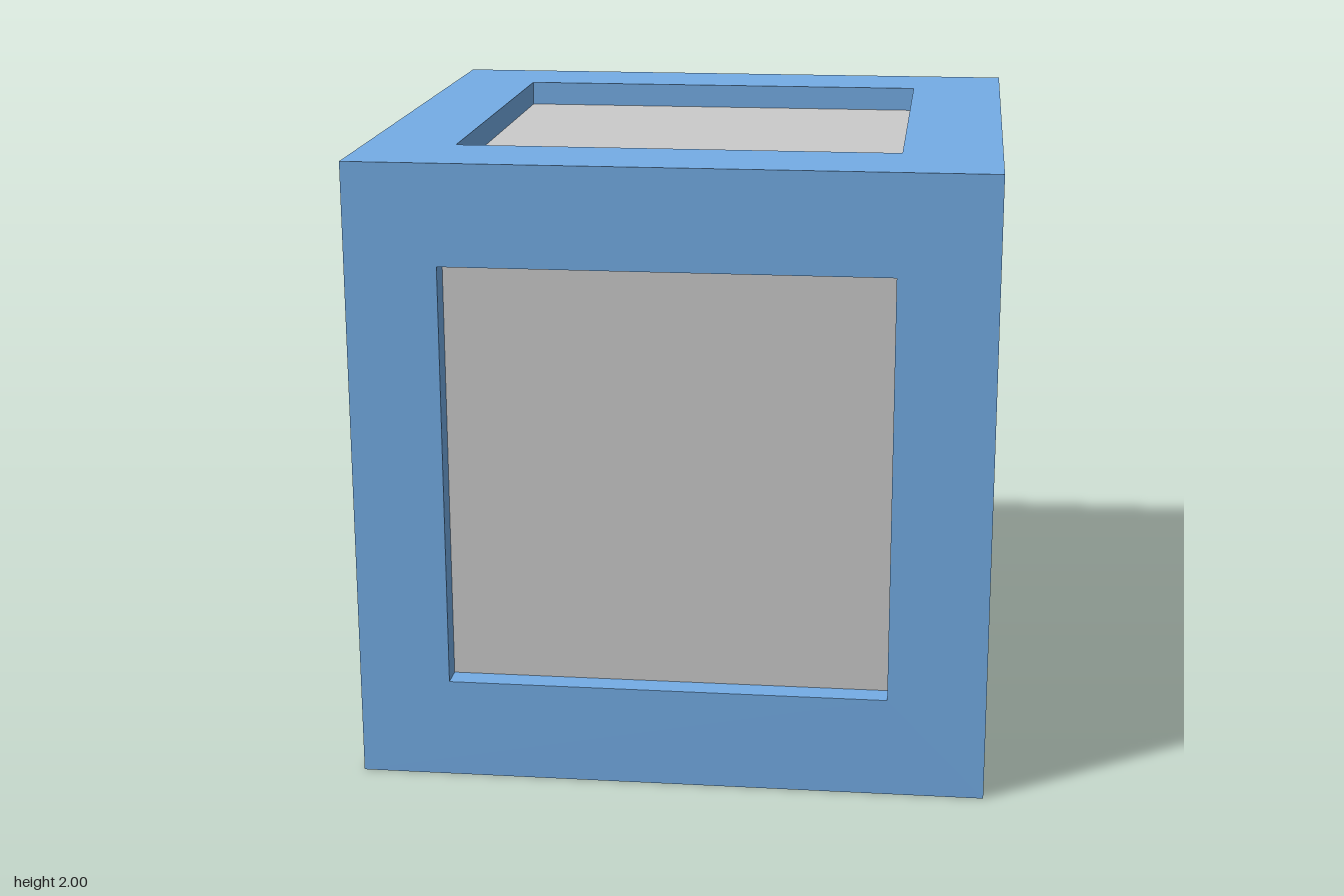
import * as THREE from 'three';

const DEPTH = 0.08; // recess of the panels
const INNER = 1 - DEPTH;

// Square face frame with a rectangular window; its back is mitred to meet its neighbours.
function frameGeometry(cx, cy, halfW, halfH) {
  const rect = (path, x0, y0, x1, y1) =>
    path.moveTo(x0, y0).lineTo(x1, y0).lineTo(x1, y1).lineTo(x0, y1).closePath();
  const shape = rect(new THREE.Shape(), -1, -1, 1, 1);
  shape.holes.push(rect(new THREE.Path(), cx - halfW, cy - halfH, cx + halfW, cy + halfH));
  const geo = new THREE.ExtrudeGeometry(shape, { depth: DEPTH, bevelEnabled: false });
  geo.translate(0, 0, INNER);
  const p = geo.attributes.position;
  for (let i = 0; i < p.count; i++) {
    if (p.getZ(i) > 1 - DEPTH / 2) continue;
    p.setX(i, THREE.MathUtils.clamp(p.getX(i), -INNER, INNER));
    p.setY(i, THREE.MathUtils.clamp(p.getY(i), -INNER, INNER));
  }
  geo.computeVertexNormals();
  return geo;
}

export function createModel() {
  const model = new THREE.Group();
  model.name = 'framedCube';
  const blue = new THREE.MeshStandardMaterial({ color: 0x74ade6 });
  const grey = new THREE.MeshStandardMaterial({ color: 0xcccccc });

  // Inner block whose sides show as the recessed panels
  const core = new THREE.Mesh(new THREE.BoxGeometry(2 * INNER, 2 * INNER, 2 * INNER), grey);
  core.name = 'innerPanels';
  core.position.y = 1;
  model.add(core);

  // Six frames: name, rotation x, rotation y, window centre, window half width
  const q = Math.PI / 2;
  const faces = [
    ['frontFrame', 0, 0, -0.01, 0, 0.7],
    ['backFrame', 0, 2 * q, 0.01, 0, 0.7],
    ['leftFrame', 0, q, 0.01, 0, 0.68],
    ['rightFrame', 0, -q, -0.01, 0, 0.68],
    ['topFrame', -q, 0, -0.01, 0.01, 0.7],
    ['bottomFrame', q, 0, -0.01, -0.01, 0.7],
  ];
  for (const [name, rx, ry, cx, cy, halfW] of faces) {
    const frame = new THREE.Mesh(frameGeometry(cx, cy, halfW, 0.68), blue);
    frame.name = name;
    frame.rotation.set(rx, ry, 0);
    frame.position.y = 1;
    model.add(frame);
  }
  return model;
}
